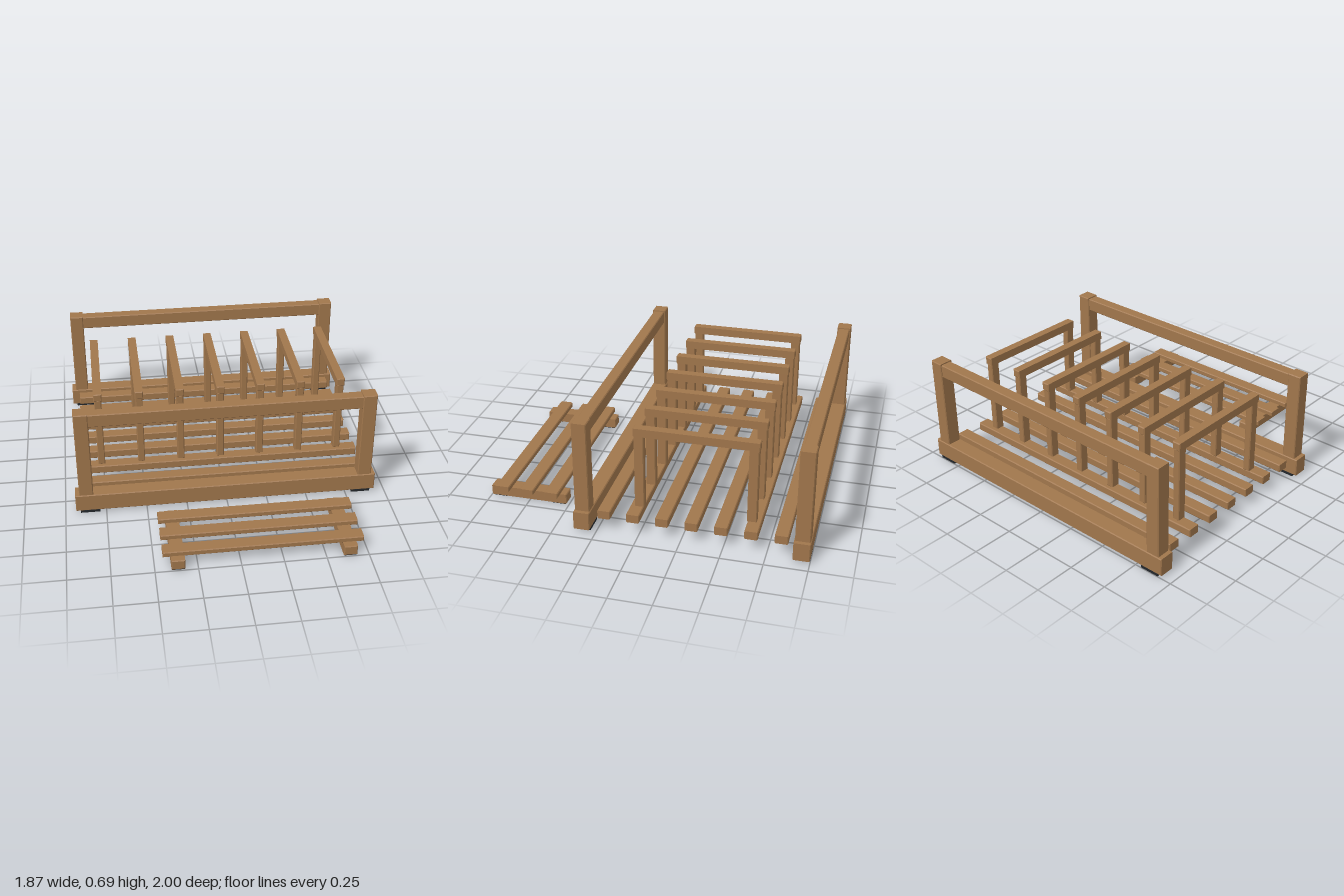
import * as THREE from 'three';

const wood = new THREE.MeshStandardMaterial({ color: 0xa0764c });
wood.name = 'wood';
const rubber = new THREE.MeshStandardMaterial({ color: 0x23272b });
rubber.name = 'black rubber';

// Box with chamfered edges, centred on the origin
function chamferBox(w, h, d, c) {
  const x = w / 2 - c, y = h / 2 - c;
  const shape = new THREE.Shape([
    new THREE.Vector2(-x, -y), new THREE.Vector2(x, -y),
    new THREE.Vector2(x, y), new THREE.Vector2(-x, y),
  ]);
  const geo = new THREE.ExtrudeGeometry(shape, {
    depth: d - 2 * c, bevelEnabled: true, bevelThickness: c, bevelSize: c, bevelSegments: 1,
  });
  return geo.translate(0, 0, c - d / 2);
}

// Timber spanning y0..y1, centred at x, z
function timber(parent, name, w, d, y0, y1, x, z, c = 0.005) {
  const mesh = new THREE.Mesh(chamferBox(w, y1 - y0, d, c), wood);
  mesh.name = name;
  mesh.position.set(x, (y0 + y1) / 2, z);
  parent.add(mesh);
}

function pad(parent, name, w, d, h, x, z) {
  const mesh = new THREE.Mesh(new THREE.BoxGeometry(w, h, d), rubber);
  mesh.name = name;
  mesh.position.set(x, h / 2, z);
  parent.add(mesh);
}

function group(parent, name) {
  const g = new THREE.Group();
  g.name = name;
  parent.add(g);
  return g;
}

export function createModel() {
  const model = new THREE.Group();
  model.name = 'slattedRack';
  const mid = -0.309;

  // Front and back frames: beam, posts, top rail and feet
  for (const s of [1, -1]) {
    const frame = group(model, s > 0 ? 'frontFrame' : 'backFrame');
    const z = mid + s * 0.642;
    timber(frame, 'baseBeam', 1.87, 0.098, 0.015, 0.127, 0, z);
    timber(frame, 'topRail', 1.66, 0.072, 0.605, 0.688, 0, z);
    for (const side of [-1, 1]) {
      timber(frame, 'post', 0.086, 0.088, 0.122, 0.695, side * 0.867, z);
      pad(frame, 'foot', 0.118, 0.094, 0.016, side * 0.848, z);
    }
  }

  // Floor slats
  const floor = group(model, 'floorSlats');
  for (let i = -3; i <= 3; i++) {
    timber(floor, 'slat', 1.77, 0.078, 0.075, 0.127, 0, mid + i * 0.1735);
  }

  // Divider hoops: two uprights joined by a top bar
  for (let i = -3; i <= 3; i++) {
    const divider = group(model, 'divider');
    const x = i * 0.2533;
    timber(divider, 'dividerBar', 0.052, 0.732, 0.59, 0.64, x, mid);
    for (const s of [-1, 1]) {
      timber(divider, 'dividerUpright', 0.044, 0.058, 0.125, 0.594, x, mid + s * 0.332);
    }
  }

  // Low step in front: skids with pads, and three slats across
  const step = group(model, 'frontStep');
  for (const x of [-0.365, 0.64]) {
    timber(step, 'skid', 0.08, 0.484, 0.005, 0.068, x, 0.755);
    for (const s of [-1, 1]) pad(step, 'skidPad', 0.072, 0.09, 0.006, x, 0.755 + s * 0.19);
  }
  for (let i = -1; i <= 1; i++) {
    timber(step, 'stepSlat', 1.176, 0.085, 0.062, 0.096, 0.1375, 0.752 + i * 0.156);
  }
  return model;
}
